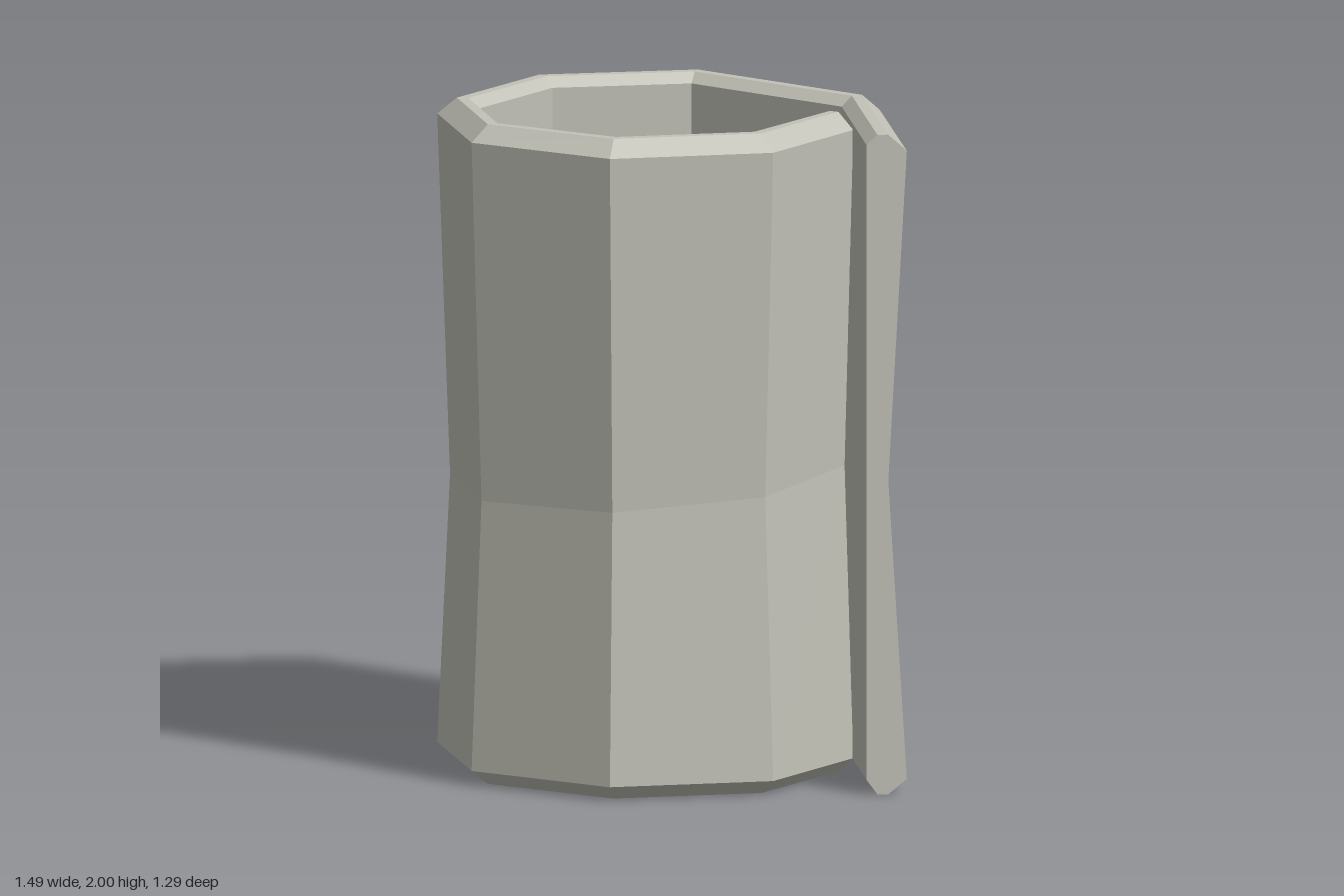
import * as THREE from 'three';

// Plan of the curled sheet: outer x, z, inner x, z, waist height, waist depth (share of thickness)
const PLAN = [
  [0.525, 0.04, 0.42, 0.0, 0.93, 0.27],
  [0.36, 0.455, 0.265, 0.365, 0.9, 0.31],
  [-0.1, 0.645, -0.1, 0.515, 0.87, 0.3],
  [-0.555, 0.457, -0.465, 0.367, 0.86, 0.28],
  [-0.745, 0, -0.615, 0, 0.86, 0.3],
  [-0.555, -0.46, -0.465, -0.37, 0.93, 0.3],
  [-0.06, -0.648, -0.07, -0.518, 1.03, 0.32],
  [0.54, -0.305, 0.44, -0.225, 1.05, 0.5],
  [0.745, 0.347, 0.63, 0.385, 0.95, 0.46],
];

// Bevelled wall section: [share of thickness from outside to inside, height]
const section = (waistY, waistDepth) => [
  [0, 1.95], [0.46, 2], [0.73, 2], [1, 1.97],
  [1, 0.045], [0.73, 0], [0.46, 0], [0, 0.045], [waistDepth, waistY],
];

function curledSheetGeometry() {
  const rings = PLAN.map(([ox, oz, ix, iz, wy, wd]) =>
    section(wy, wd).map(([t, y]) => [ox + (ix - ox) * t, y, oz + (iz - oz) * t]));
  const n = rings[0].length;
  const pos = [];
  const tri = (a, b, c) => pos.push(...a, ...b, ...c);

  // Walls and bevels between neighbouring sections
  for (let i = 0; i < rings.length - 1; i++) {
    for (let j = 0; j < n; j++) {
      const k = (j + 1) % n;
      const a = rings[i][j], b = rings[i][k], c = rings[i + 1][k], d = rings[i + 1][j];
      tri(a, b, d);
      tri(b, c, d);
    }
  }

  // Both free ends, fanned from the waist point
  const first = rings[0], last = rings[rings.length - 1];
  for (let j = 0; j < n - 2; j++) {
    tri(last[n - 1], last[j], last[j + 1]);
    tri(first[n - 1], first[j + 1], first[j]);
  }

  const geometry = new THREE.BufferGeometry();
  geometry.setAttribute('position', new THREE.Float32BufferAttribute(pos, 3));
  geometry.computeVertexNormals();
  return geometry;
}

export function createModel() {
  const group = new THREE.Group();
  group.name = 'curledSleeve';
  const warmGrey = new THREE.MeshStandardMaterial({ color: 0xc2c2b8, flatShading: true });
  warmGrey.name = 'warm grey';
  const sheet = new THREE.Mesh(curledSheetGeometry(), warmGrey);
  sheet.name = 'curledSheet';
  group.add(sheet);
  return group;
}
